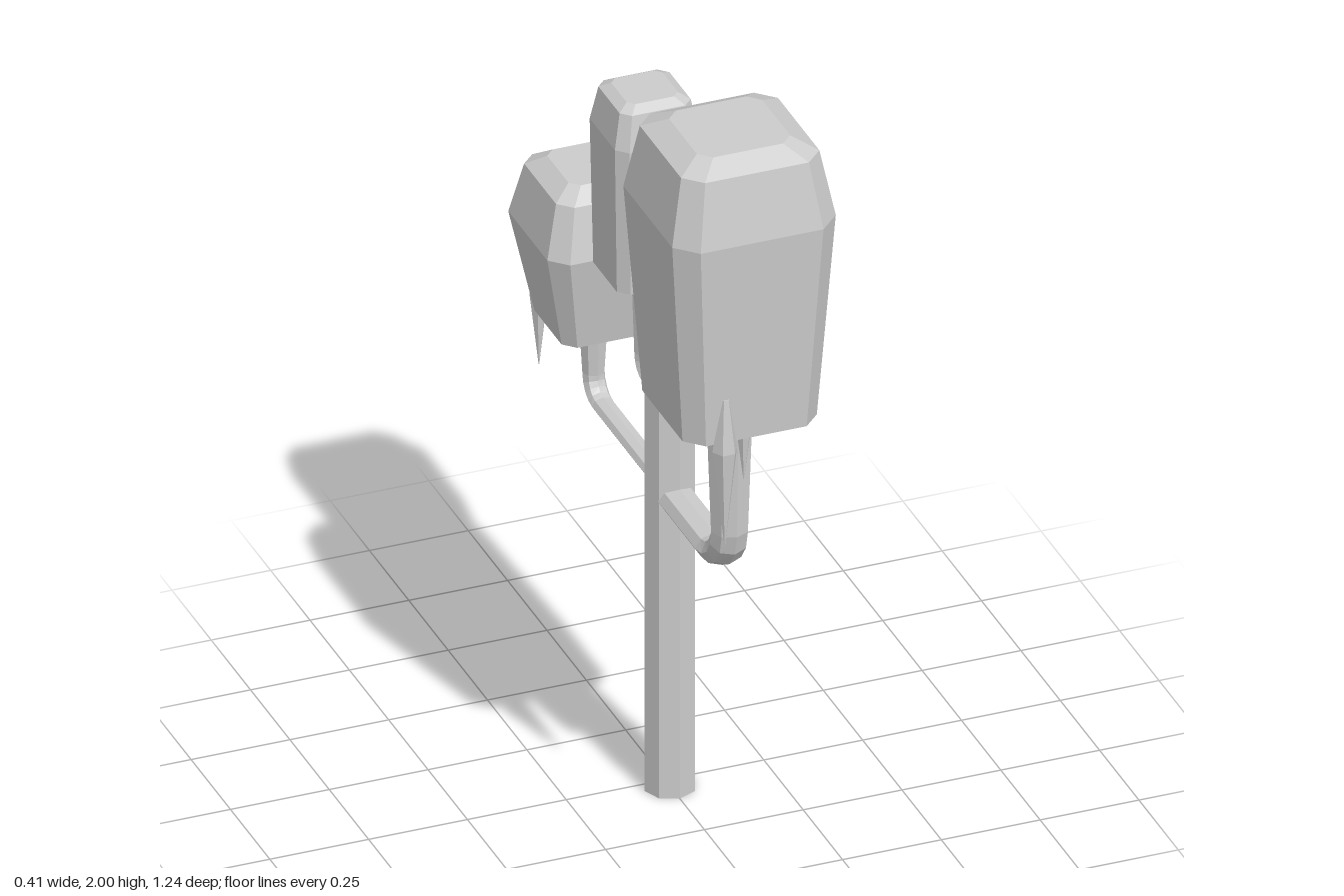
import * as THREE from 'three';

const material = new THREE.MeshStandardMaterial({ color: 0xcccccc, flatShading: true });

// Skins a stack of equal-sized rings and closes both ends.
function loft(name, rings) {
  const pos = [];
  const tri = (...pts) => pts.forEach((p) => pos.push(p.x, p.y, p.z));
  const n = rings[0].length;
  for (let r = 0; r < rings.length - 1; r++) {
    const a = rings[r], b = rings[r + 1];
    for (let i = 0; i < n; i++) {
      const j = (i + 1) % n;
      tri(a[i], a[j], b[j]);
      tri(a[i], b[j], b[i]);
    }
  }
  const first = rings[0], last = rings[rings.length - 1];
  for (let i = 1; i < n - 1; i++) {
    tri(first[0], first[i + 1], first[i]);
    tri(last[0], last[i], last[i + 1]);
  }
  const geometry = new THREE.BufferGeometry();
  geometry.setAttribute('position', new THREE.Float32BufferAttribute(pos, 3));
  geometry.computeVertexNormals();
  const mesh = new THREE.Mesh(geometry, material);
  mesh.name = name;
  return mesh;
}

// Regular horizontal ring.
function roundRing(x, y, z, radius, sides) {
  return Array.from({ length: sides }, (_, i) => {
    const a = (i / sides) * Math.PI * 2;
    return new THREE.Vector3(x + radius * Math.cos(a), y, z - radius * Math.sin(a));
  });
}

// Square horizontal ring with cut corners.
function squareRing(y, z, h) {
  const c = h * 0.75;
  return [[h, -c], [c, -h], [-c, -h], [-h, -c], [-h, c], [-c, h], [c, h], [h, c]]
    .map(([dx, dz]) => new THREE.Vector3(dx, y, z + dz));
}

// Foliage block; levels are [height, half width].
const canopy = (name, z, levels) => loft(name, levels.map(([y, h]) => squareRing(y, z, h)));

// Elbow branch: out from the trunk along z, round a bend, then up and wider.
function branch(name, y, z, top, bend, wide, tall, topRadius) {
  const s = Math.sign(z - 0.03), steps = 4;
  const side = new THREE.Vector3(1, 0, 0);
  const stations = [{ y, z: 0.03, a: 0, t: 0 }];
  for (let i = 0; i <= steps; i++) {
    const a = (i / steps) * Math.PI / 2;
    stations.push({
      y: y + bend * (1 - Math.cos(a)), z: z - s * bend * (1 - Math.sin(a)), a, t: i / steps,
    });
  }
  stations.push({ y: top, z, a: Math.PI / 2, t: 1, end: true });
  return loft(name, stations.map((p) => {
    const dir = new THREE.Vector3(0, Math.sin(p.a), s * Math.cos(p.a));
    const up = dir.clone().cross(side);
    const rx = p.end ? topRadius : wide;
    const rn = p.end ? topRadius : THREE.MathUtils.lerp(tall, wide, p.t);
    return Array.from({ length: 8 }, (_, i) => {
      const a = (i / 8) * Math.PI * 2;
      return new THREE.Vector3(0, p.y, p.z)
        .addScaledVector(side, rx * Math.cos(a))
        .addScaledVector(up, rn * Math.sin(a));
    });
  }));
}

// Hanging spike, widest a third of the way down.
function spike(x, z, top, tip, radius) {
  const mid = THREE.MathUtils.lerp(top, tip, 0.35);
  return loft('hangingSpike', [
    roundRing(x, tip, z, 0.001, 6),
    roundRing(x, mid, z, radius, 6),
    roundRing(x, top, z, radius * 0.4, 6),
  ]);
}

export function createModel() {
  const tree = new THREE.Group();
  tree.name = 'tree';

  // Trunk with a bevelled top
  tree.add(loft('trunk', [[0, 0.064], [1.14, 0.064], [1.165, 0.036]]
    .map(([y, r]) => roundRing(0, y, 0.03, r, 8))));

  // Branches
  tree.add(
    branch('frontBranch', 0.808, 0.41, 1.27, 0.1, 0.047, 0.033, 0.06),
    branch('backBranch', 0.808, -0.455, 1.03, 0.06, 0.028, 0.019, 0.038),
    branch('upperBranch', 1.047, -0.13, 1.34, 0.05, 0.026, 0.017, 0.034),
  );

  // Foliage blocks
  tree.add(
    canopy('frontCanopy', 0.41, [[1.25, 0.17], [1.8, 0.207], [1.97, 0.175], [2, 0.118]]),
    canopy('backCanopy', -0.455, [[1.01, 0.115], [1.27, 0.166], [1.405, 0.135], [1.435, 0.09]]),
    canopy('upperCanopy', -0.13, [[1.32, 0.1], [1.71, 0.107], [1.8, 0.09], [1.815, 0.065]]),
  );

  // Spikes hanging from the foliage: x, z, top, tip, radius
  for (const s of [
    [-0.08, 0.58, 1.37, 0.97, 0.031],
    [0, 0.5, 1.32, 1.09, 0.02],
    [-0.09, -0.575, 1.14, 0.84, 0.024],
    [0, -0.585, 1.18, 1.0, 0.018],
    [0.085, -0.36, 1.08, 0.87, 0.02],
    [0.065, -0.21, 1.38, 1.21, 0.018],
  ]) tree.add(spike(...s));

  return tree;
}
